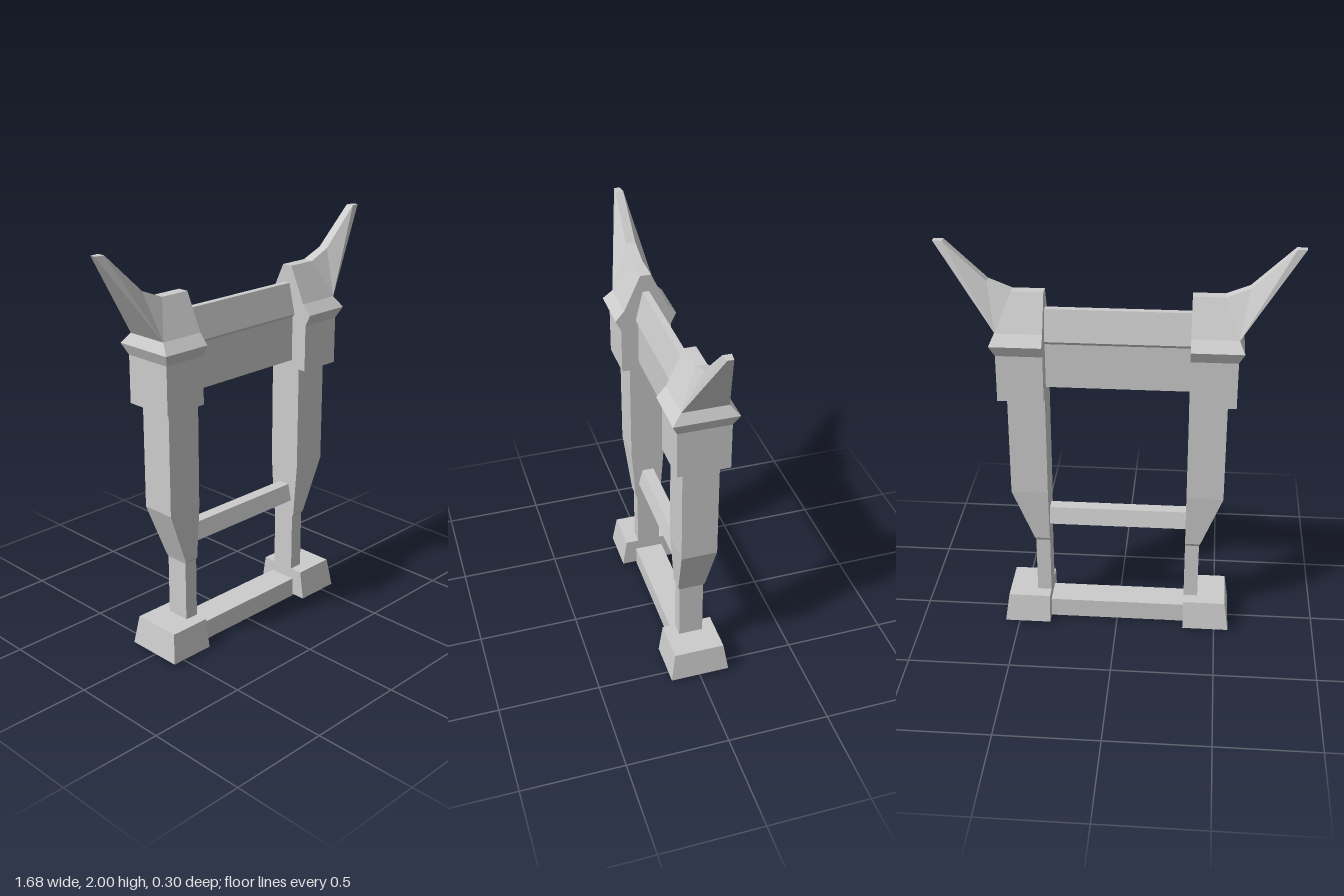
import * as THREE from 'three';

const INNER = 0.34; // inner face of both posts, where the beams end

// Flat-shaded skin through rings that run counterclockwise seen from the last ring.
function loft(rings, { closed = true, start = false, end = false, mirror = false } = {}) {
  const pos = [];
  const tri = (a, b, c) => {
    const area = new THREE.Triangle(...[a, b, c].map(p => new THREE.Vector3(...p))).getArea();
    if (area < 1e-7) return;
    for (const p of mirror ? [a, c, b] : [a, b, c]) pos.push(mirror ? -p[0] : p[0], p[1], p[2]);
  };
  for (let r = 0; r + 1 < rings.length; r++) {
    const a = rings[r], b = rings[r + 1], n = a.length;
    for (let i = 0; i < (closed ? n : n - 1); i++) {
      const j = (i + 1) % n;
      tri(a[i], a[j], b[j]);
      tri(a[i], b[j], b[i]);
    }
  }
  const first = rings[0], last = rings[rings.length - 1];
  for (let i = 1; i + 1 < first.length; i++) {
    if (start) tri(first[0], first[i + 1], first[i]);
    if (end) tri(last[0], last[i], last[i + 1]);
  }
  const geometry = new THREE.BufferGeometry();
  geometry.setAttribute('position', new THREE.Float32BufferAttribute(pos, 3));
  geometry.computeVertexNormals();
  return geometry;
}

// Rectangular post section: height, outer x, half depth
const section = ([y, x, d]) => [[x, y, d], [x, y, -d], [INNER, y, -d], [INNER, y, d]];

// Symmetric beam profile of [half depth, y] points from the bottom up
function beam(profile, closed = true) {
  const outline = [
    ...profile.map(([d, y]) => [-d, y]),
    ...[...profile].reverse().map(([d, y]) => [d, y]),
  ];
  const ring = x => outline.map(([z, y]) => [x, y, z]);
  return loft([ring(-INNER), ring(INNER)], { closed });
}

export function createModel() {
  const model = new THREE.Group();
  model.name = 'gate';
  const stone = new THREE.MeshStandardMaterial({ color: 0xcccccc, side: THREE.DoubleSide });
  stone.name = 'pale grey';
  const add = (name, geometry, parent = model) => {
    const mesh = new THREE.Mesh(geometry, stone);
    mesh.name = name;
    parent.add(mesh);
  };

  const foot = [[0.01, 0.57, 0.147], [0.155, 0.55, 0.125]];
  const shaft = [
    [0.155, 0.41, 0.06], [0.455, 0.41, 0.06], [0.47, 0.415, 0.068],
    [0.745, 0.52, 0.087], [1.26, 0.52, 0.087],
  ];
  const capital = [
    [1.26, 0.56, 0.125], [1.49, 0.56, 0.125], [1.545, 0.585, 0.152], [1.595, 0.56, 0.108],
  ];
  // Horn outline: x, y, half depth
  const horn = [
    [0.56, 1.595, 0.108], [0.84, 2, 0.014], [0.795, 2, 0.02], [0.6, 1.815, 0.024],
    [0.49, 1.77, 0.027], [INNER, 1.77, 0.027], [INNER, 1.595, 0.108],
  ];
  const hornSide = s => horn.map(([x, y, d]) => [x, y, s * d]);

  // Posts, each with a hollow foot, tapered shaft, capital and horn
  for (const mirror of [false, true]) {
    const post = new THREE.Group();
    post.name = mirror ? 'rightPost' : 'leftPost';
    add('foot', loft(foot.map(section), { end: true, mirror }), post);
    add('shaft', loft(shaft.map(section), { mirror }), post);
    add('capital', loft(capital.map(section), { start: true, mirror }), post);
    add('horn', loft([hornSide(-1), hornSide(1)], { start: true, end: true, mirror }), post);
    model.add(post);
  }

  // Cross beams; the bottom rail is open underneath
  add('topBeam', beam([[0.04, 1.3], [0.04, 1.52], [0.052, 1.535], [0.016, 1.685]]));
  add('middleRail', beam([[0.05, 0.545], [0.03, 0.63]]));
  add('bottomRail', beam([[0.072, 0], [0.072, 0.1]], false));

  return model;
}
